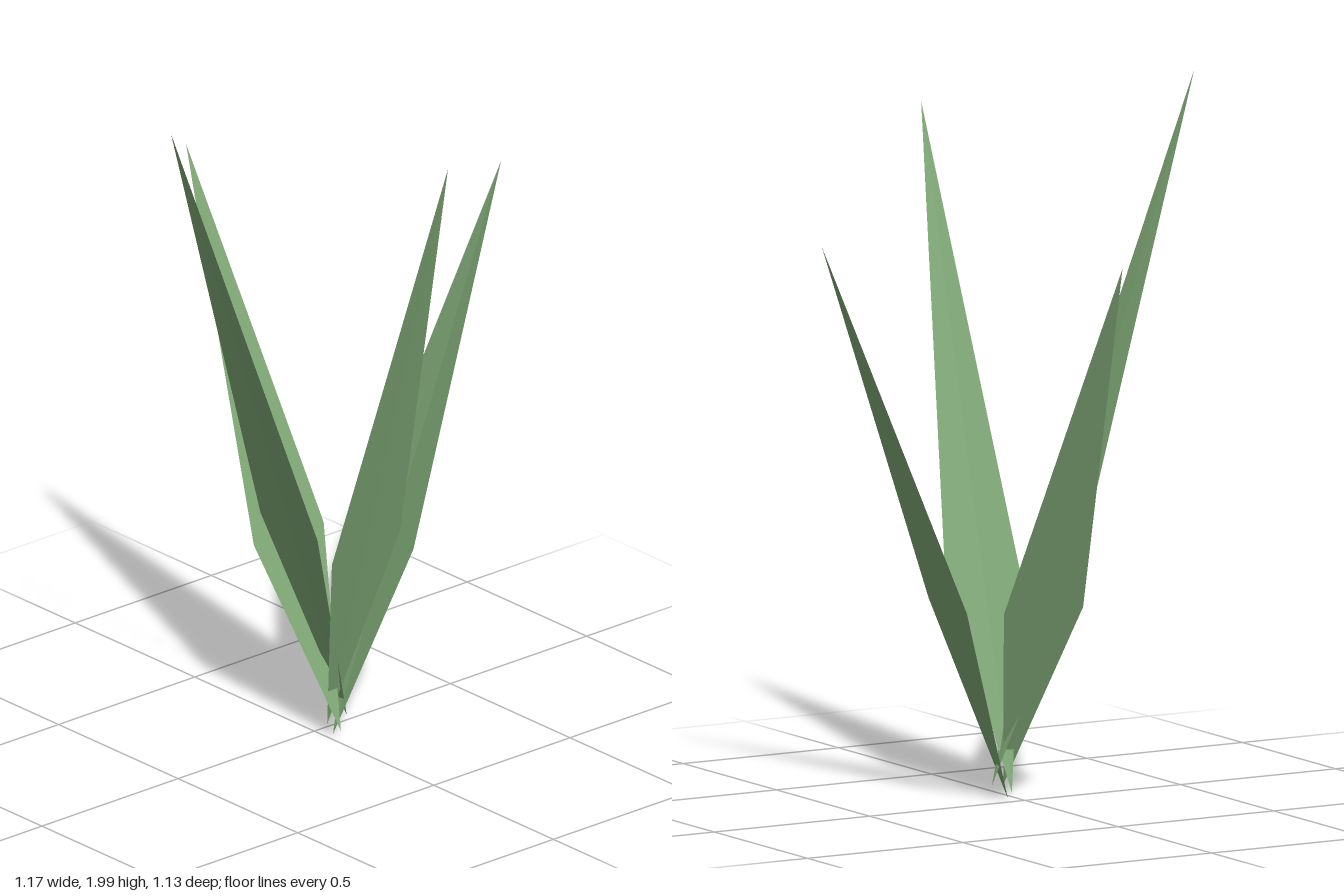
import * as THREE from 'three';

// One flat kite-shaped blade: base point, two shoulders and a tip
function makeBlade(name, base, shoulderA, tip, shoulderB, material) {
  const geometry = new THREE.BufferGeometry();
  geometry.setAttribute('position', new THREE.Float32BufferAttribute(
    [...base, ...shoulderA, ...tip, ...base, ...tip, ...shoulderB], 3));
  geometry.computeVertexNormals();
  const blade = new THREE.Mesh(geometry, material);
  blade.name = name;
  return blade;
}

export function createModel() {
  const plant = new THREE.Group();
  plant.name = 'plant';

  const leafGreen = new THREE.MeshStandardMaterial({ color: 0x7fa876, side: THREE.DoubleSide });
  leafGreen.name = 'leaf green';

  // Four blades leaning outward and crossing near the ground
  const blades = [
    ['frontLeaf', [0.03, 0.03, 0.02], [0.135, 0.64, 0.205], [-0.005, 1.885, 0.565], [-0.102, 0.6, 0.19]],
    ['backLeaf', [0.01, 0.04, 0.1], [-0.112, 0.56, -0.125], [0.025, 1.585, -0.565], [0.14, 0.56, -0.12]],
    ['leftLeaf', [0.025, 0.01, 0.05], [0.235, 0.565, -0.08], [0.585, 1.595, 0.115], [0.193, 0.565, 0.195]],
    ['rightLeaf', [0.08, 0.05, 0.045], [-0.135, 0.675, 0.168], [-0.585, 1.995, 0.067], [-0.14, 0.685, -0.065]],
  ];
  for (const [name, ...corners] of blades) plant.add(makeBlade(name, ...corners, leafGreen));

  return plant;
}
